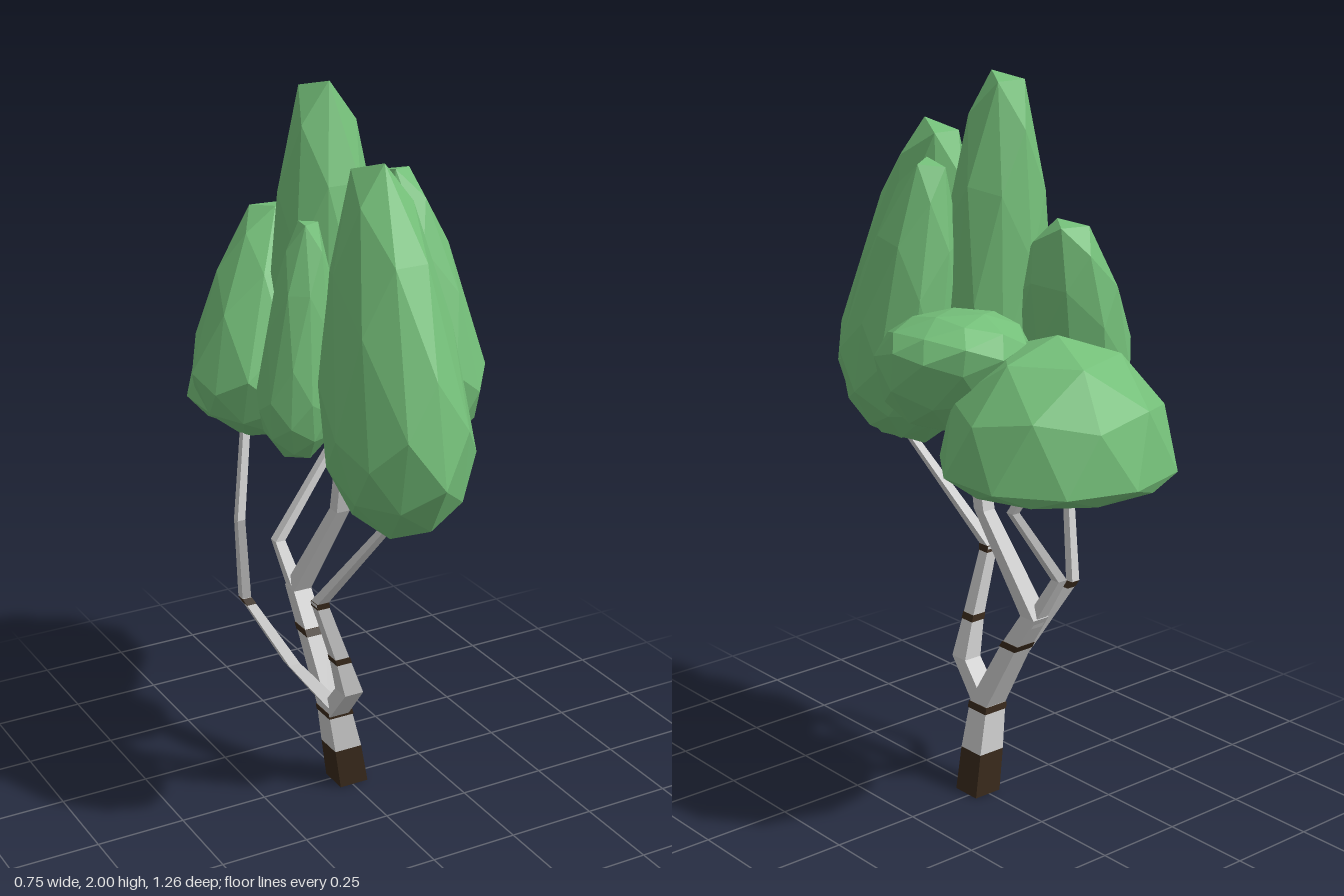
import * as THREE from 'three';

const leaf = new THREE.MeshStandardMaterial({ color: 0x74bf79, flatShading: true });
const bark = new THREE.MeshStandardMaterial({ color: 0xcccccc, flatShading: true });
const dark = new THREE.MeshStandardMaterial({ color: 0x38291b, flatShading: true });

// Square limb swept through [x, y, z, halfWidth] stations
function limb(name, stations, material) {
  const n = stations.length - 1;
  const geo = new THREE.CylinderGeometry(1, 1, 1, 4, n).rotateY(Math.PI / 4);
  const p = geo.attributes.position;
  for (let i = 0; i < p.count; i++) {
    const [x, y, z, r] = stations[Math.round((p.getY(i) + 0.5) * n)];
    p.setXYZ(i, x + p.getX(i) * r * Math.SQRT2, y, z + p.getZ(i) * r * Math.SQRT2);
  }
  geo.computeVertexNormals();
  const mesh = new THREE.Mesh(geo, material);
  mesh.name = name;
  return mesh;
}

// Thin dark ring around a limb at height y
function barkBand(stations, y) {
  const at = (h) => {
    const i = stations.findIndex((s, k) => k > 0 && s[1] >= h);
    const a = stations[i - 1], b = stations[i];
    const s = a.map((v, k) => v + (b[k] - v) * (h - a[1]) / (b[1] - a[1]));
    s[3] *= 1.06;
    return s;
  };
  return limb('barkBand', [at(y - 0.009), at(y + 0.009)], dark);
}

// Faceted crown: a sphere with separate lower and upper heights, a tapering and leaning top
function crown({ name, at, rx, rz, low, high, taper = 0.25, lean = [0, 0], sag = 0, spin = 0, tilt = 0, dome = false }) {
  const geo = new THREE.IcosahedronGeometry(1, 1);
  // the dome has a corner on top, the others a facet that makes the tip blunt
  geo.rotateX(dome ? -1.0172 : -0.365).rotateY(spin).rotateX(-tilt);
  geo.computeBoundingBox();
  const { max } = geo.boundingBox;
  geo.scale(1 / max.x, 1 / max.y, 1 / max.z);
  const p = geo.attributes.position;
  const v = new THREE.Vector3();
  for (let i = 0; i < p.count; i++) {
    v.fromBufferAttribute(p, i);
    const up = Math.max(v.y, 0);
    const down = Math.max(-v.y, 0);
    const wobble = 1 + 0.015 * Math.sin(v.x * 7 + v.y * 5 + v.z * 9 + at[0] * 20);
    const k = (1 - taper * up) * wobble;
    let y = v.y * (v.y > 0 ? high : low);
    // hollow underside of the dome
    if (dome && v.y < -0.6) y = 0.03;
    p.setXYZ(i, at[0] + v.x * rx * k + lean[0] * up, at[1] + y, at[2] + v.z * rz * k + lean[1] * up + sag * down);
  }
  geo.computeVertexNormals();
  const mesh = new THREE.Mesh(geo, leaf);
  mesh.name = name;
  return mesh;
}

export function createModel() {
  const tree = new THREE.Group();
  tree.name = 'tree';

  // Dark foot of the trunk
  tree.add(limb('trunkFoot', [[0.005, 0, 0.014, 0.043], [-0.016, 0.12, 0.02, 0.041]], dark));

  // Trunk and branches with their bark bands
  const limbs = [
    { name: 'trunk', bands: [0.24, 0.45], path: [
      [-0.016, 0.12, 0.02, 0.041], [-0.045, 0.25, 0.03, 0.035], [-0.06, 0.45, -0.075, 0.03],
      [-0.065, 0.55, -0.14, 0.027], [-0.015, 0.83, 0.01, 0.02], [-0.03, 1.12, 0.08, 0.016]] },
    { name: 'frontBranch', bands: [0.46, 0.645], path: [
      [-0.05, 0.24, 0.04, 0.03], [-0.055, 0.35, 0.135, 0.028], [-0.09, 0.46, 0.145, 0.021],
      [-0.16, 0.65, 0.16, 0.017], [-0.03, 0.98, 0.38, 0.011]] },
    { name: 'sideBranch', bands: [0.58], path: [
      [-0.06, 0.27, 0.045, 0.024], [-0.16, 0.4, 0.0, 0.017], [-0.26, 0.59, -0.08, 0.013],
      [-0.31, 0.86, 0.0, 0.011], [-0.25, 1.14, -0.07, 0.01]] },
    { name: 'backBranch', bands: [], path: [
      [-0.065, 0.52, -0.13, 0.02], [-0.09, 0.67, -0.21, 0.015],
      [0.1, 0.91, -0.24, 0.012], [0.06, 1.12, -0.36, 0.01]] },
  ];
  for (const { name, bands, path } of limbs) {
    tree.add(limb(name, path, bark));
    for (const y of bands) tree.add(barkBand(path, y));
  }

  // Leaf crowns
  const crowns = [
    { name: 'frontCrown', at: [-0.065, 1.2, 0.395], rx: 0.177, rz: 0.238, low: 0.27, high: 0.65, lean: [0.015, -0.15], spin: Math.PI, tilt: 0.08 },
    { name: 'leftFrontCrown', at: [0.148, 1.26, 0.17], rx: 0.147, rz: 0.175, low: 0.22, high: 0.52, lean: [-0.045, -0.08], spin: 2.6, tilt: 0.05 },
    { name: 'tallCrown', at: [-0.045, 1.3, 0.015], rx: 0.158, rz: 0.155, low: 0.25, high: 0.7, taper: 0.08, lean: [-0.012, -0.03], spin: Math.PI, tilt: 0.05 },
    { name: 'rightCrown', at: [-0.2, 1.24, -0.095], rx: 0.178, rz: 0.195, low: 0.18, high: 0.4, lean: [0.1, -0.12], spin: 0.9, tilt: 0.05 },
    { name: 'smallCrown', at: [-0.205, 1.24, 0.135], rx: 0.105, rz: 0.105, low: 0.17, high: 0.44, lean: [0.03, 0], spin: 0.4 },
    { name: 'leftBackCrown', at: [0.178, 1.33, -0.095], rx: 0.195, rz: 0.195, low: 0.22, high: 0.1, taper: 0, lean: [0, -0.04], sag: 0.05, spin: 0.5, tilt: -0.1 },
    { name: 'backCrown', at: [0.04, 1.055, -0.337], rx: 0.298, rz: 0.3, low: 0.07, high: 0.335, taper: 0, spin: Math.PI / 10, dome: true },
  ];
  for (const c of crowns) tree.add(crown(c));
  return tree;
}
